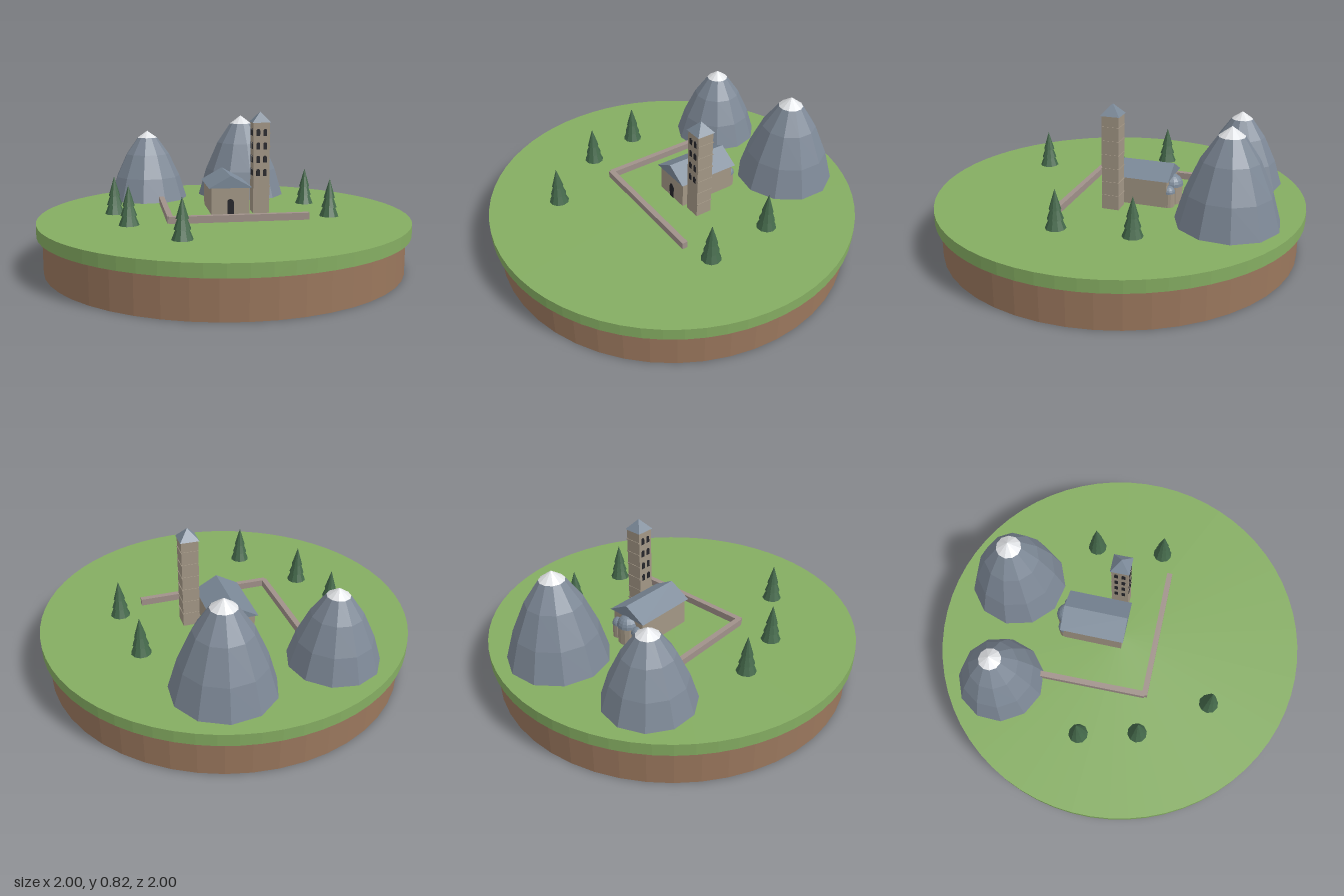
import * as THREE from 'three';

const material = (name, color) => {
  const m = new THREE.MeshStandardMaterial({ color, flatShading: true });
  m.name = name;
  return m;
};

export function createModel() {
  const grass = material('grass green', 0x85ad62);
  const soil = material('soil brown', 0x9a775d);
  const rock = material('rock grey', 0x7d8896);
  const snow = material('snow white', 0xe9ebee);
  const stone = material('church stone', 0xa39786);
  const slate = material('roof slate', 0x7b8998);
  const wallStone = material('wall stone', 0xa0918a);
  const leaf = material('fir green', 0x44684a);
  const dark = material('opening dark', 0x25252a);

  const model = new THREE.Group();
  const ground = 0.265;
  const add = (parent, name, geometry, mat, x = 0, y = 0, z = 0) => {
    const mesh = new THREE.Mesh(geometry, mat);
    mesh.name = name;
    mesh.position.set(x, y, z);
    parent.add(mesh);
    return mesh;
  };
  const group = (parent, name, x, y, z) => {
    const g = new THREE.Group();
    g.name = name;
    g.position.set(x, y, z);
    parent.add(g);
    return g;
  };

  // Round island
  add(model, 'soilBase', new THREE.CylinderGeometry(0.97, 0.97, 0.2, 48), soil, 0, 0.1, 0);
  add(model, 'grassDisc', new THREE.CylinderGeometry(1, 1, 0.065, 64), grass, 0, 0.2325, 0);

  // Faceted mountains with snowy peaks
  const lathe = (profile, r, h, start) => new THREE.LatheGeometry(
    profile.map(([a, b]) => new THREE.Vector2(a * r, b * h)), 11, start, Math.PI * 2);
  const mountain = (x, z, r, h, start) => {
    const g = group(model, 'mountain', x, ground, z);
    add(g, 'mountainRock', lathe([[1, 0], [0.82, 0.33], [0.55, 0.66], [0.25, 0.9]], r, h, start), rock);
    add(g, 'snowCap', lathe([[0.25, 0.9], [0, 1]], r, h, start), snow);
  };
  mountain(-0.16, -0.685, 0.237, 0.412, 4.62);
  mountain(0.412, -0.53, 0.267, 0.497, 3.18);

  // Fir trees of three stacked cones
  for (const [x, z] of [[-0.52, -0.3], [-0.56, 0.015], [-0.455, 0.425], [0.473, 0.32], [0.572, -0.053]]) {
    const g = group(model, 'firTree', x, ground, z);
    for (const [r, y, h] of [[0.053, 0, 0.13], [0.042, 0.05, 0.115], [0.031, 0.1, 0.105]])
      add(g, 'firTier', new THREE.ConeGeometry(r, h, 10), leaf, 0, y + h / 2, 0);
  }

  // Low boundary wall
  const corners = [[-0.165, -0.47], [-0.362, 0.085], [0.32, 0.335]];
  for (let i = 0; i < 2; i++) {
    const [x0, z0] = corners[i], [x1, z1] = corners[i + 1];
    const length = Math.hypot(x1 - x0, z1 - z0) + (i ? 0.015 : 0);
    const wall = add(model, 'boundaryWall', new THREE.BoxGeometry(0.03, 0.037, length), wallStone,
      (x0 + x1) / 2, ground + 0.0185, (z0 + z1) / 2);
    wall.rotation.y = Math.atan2(x1 - x0, z1 - z0);
  }

  // Thin arched plate for doors and windows
  const arch = (w, h) => {
    const s = new THREE.Shape();
    s.moveTo(-w / 2, 0);
    s.lineTo(w / 2, 0);
    s.lineTo(w / 2, h - w / 2);
    s.absarc(0, h - w / 2, w / 2, 0, Math.PI, false);
    return new THREE.ExtrudeGeometry(s, { depth: 0.004, bevelEnabled: false, curveSegments: 6 });
  };

  // Church nave
  const church = group(model, 'church', 0.08, ground, -0.12);
  church.rotation.y = -0.355;
  add(church, 'naveWalls', new THREE.BoxGeometry(0.21, 0.15, 0.325), stone, 0, 0.075, 0);
  const gable = new THREE.Shape();
  gable.moveTo(-0.12, 0);
  gable.lineTo(0.12, 0);
  gable.lineTo(0, 0.067);
  add(church, 'naveRoof', new THREE.ExtrudeGeometry(gable, { depth: 0.35, bevelEnabled: false }), slate, 0, 0.147, -0.175);
  add(church, 'door', arch(0.036, 0.085), dark, 0, 0, 0.161);

  // Three rounded apses at the back
  for (const [x, r, h] of [[-0.07, 0.034, 0.075], [0, 0.056, 0.095], [0.07, 0.034, 0.075]]) {
    add(church, 'apse', new THREE.CylinderGeometry(r, r, h, 14), stone, x, h / 2, -0.165);
    add(church, 'apseDome', new THREE.SphereGeometry(r * 1.06, 14, 6, 0, Math.PI * 2, 0, Math.PI / 2), slate, x, h, -0.165);
  }

  // Bell tower with belts, paired windows and pyramid roof
  const tower = group(model, 'bellTower', 0.206, ground, 0.038);
  tower.rotation.y = -0.355;
  add(tower, 'towerBody', new THREE.BoxGeometry(0.09, 0.5, 0.09), stone, 0, 0.25, 0);
  for (let i = 0; i < 6; i++)
    add(tower, 'towerBelt', new THREE.BoxGeometry(0.092, 0.006, 0.092), stone, 0.002, 0.075 + i * 0.073, -0.002);
  for (const turn of [0, -Math.PI / 2]) {
    const face = group(tower, 'windowFace', 0, 0, 0);
    face.rotation.y = turn;
    for (let row = 0; row < 4; row++)
      for (const x of [-0.019, 0.019])
        add(face, 'towerWindow', arch(0.02, 0.038), dark, x, 0.207 + row * 0.073, 0.0435);
  }
  const cap = add(tower, 'towerRoof', new THREE.ConeGeometry(0.072, 0.058, 4), slate, 0, 0.527, 0);
  cap.rotation.y = Math.PI / 4;

  return model;
}
